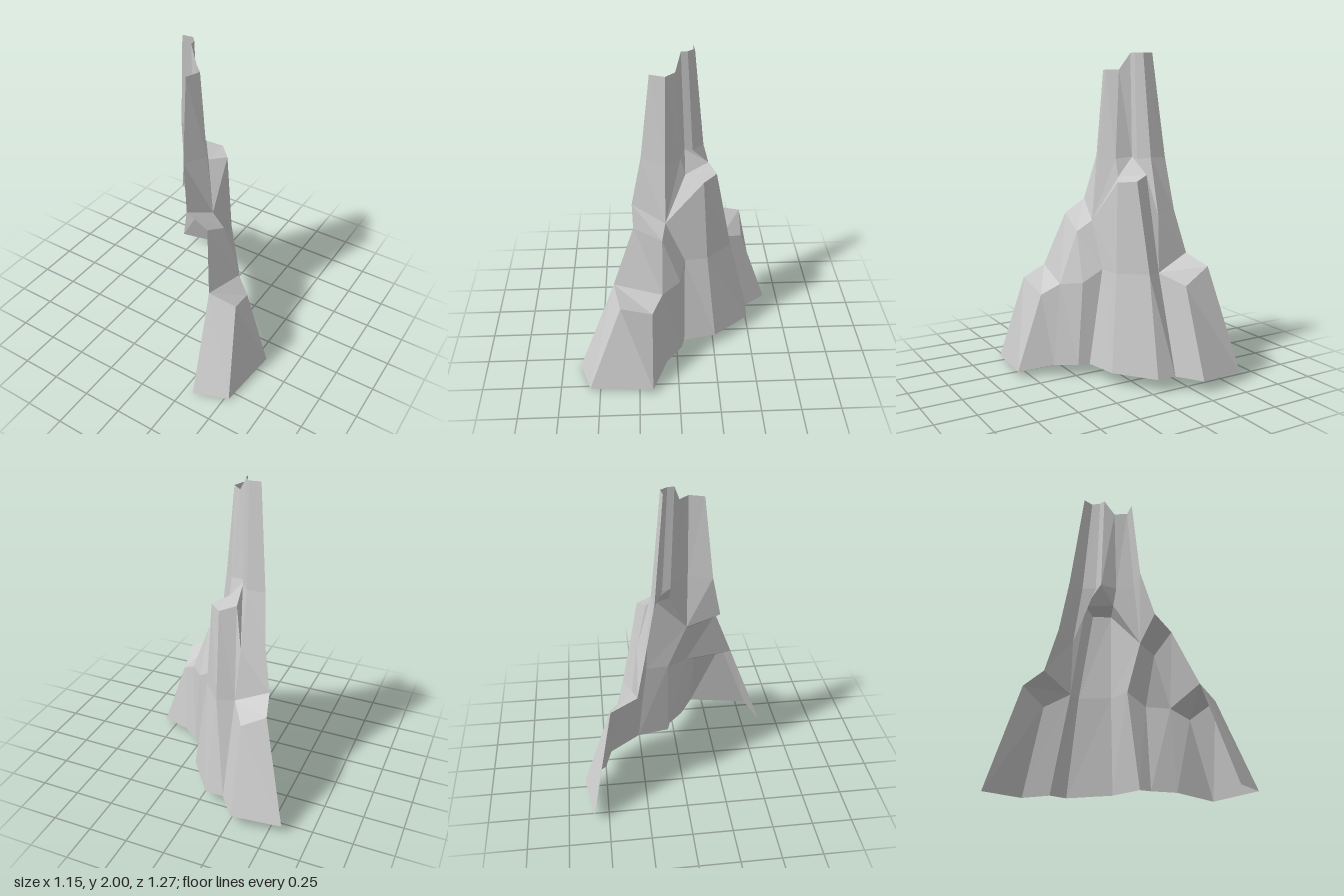
import * as THREE from 'three';

const P = (x, y, z) => [x, y, z];

// Skin a strip between two rows of points; repeated points collapse to triangles.
function strip(upper, lower, out) {
  for (let i = 0; i < upper.length - 1; i++) {
    const a = upper[i], b = lower[i], c = lower[i + 1], d = upper[i + 1];
    if (b !== c) out.push(...a, ...b, ...c);
    if (a !== d) out.push(...a, ...c, ...d);
  }
}

function rockPart(name, ...strips) {
  const out = [];
  for (const [upper, lower] of strips) strip(upper, lower, out);
  const geometry = new THREE.BufferGeometry();
  geometry.setAttribute('position', new THREE.Float32BufferAttribute(out, 3));
  geometry.computeVertexNormals();
  const material = new THREE.MeshStandardMaterial({
    color: 0xcccccc, flatShading: true, side: THREE.DoubleSide,
  });
  const mesh = new THREE.Mesh(geometry, material);
  mesh.name = name;
  return mesh;
}

export function createModel() {
  // Ground line, running from the low foot to the far end
  const base = [
    P(0.31, 0, 0.635), P(0.53, 0.01, 0.565), P(0.575, 0.03, 0.165),
    P(0.37, 0.07, 0.07), P(0.25, 0.08, -0.03), P(0.18, 0.08, -0.05),
    P(0.14, 0.08, -0.26), P(-0.04, 0.08, -0.495), P(-0.16, 0.08, -0.5),
    P(-0.27, 0.075, -0.64), P(-0.58, 0.06, -0.59),
  ];
  // Crest and waist of the spire
  const crest = [
    P(-0.035, 1.9, 0.15), P(0, 1.9, 0.06), P(-0.06, 1.9, 0),
    P(-0.12, 2, -0.035), P(-0.125, 2, -0.075), P(-0.16, 2, -0.118), P(-0.23, 2, -0.11),
  ];
  const waist = [
    P(-0.02, 1.37, 0.21), P(0.05, 1.36, 0.065), P(-0.02, 1.36, -0.03),
    P(-0.12, 1.37, -0.06), P(-0.125, 1.36, -0.11), P(-0.18, 1.37, -0.18), P(-0.29, 1.37, -0.17),
  ];
  // Ledges: back corner, then around the outside
  const foot = [P(0.275, 0.645, 0.395), P(0.44, 0.585, 0.355), P(0.41, 0.51, 0.16), P(0.31, 0.58, 0.095)];
  const left = [P(0.04, 1.08, 0.272), P(0.18, 1.0, 0.265), P(0.19, 0.905, 0.09), P(0.095, 0.97, 0.067)];
  const mid = [P(-0.02, 1.25, -0.06), P(0.05, 1.23, -0.17), P(-0.035, 1.24, -0.255), P(-0.13, 1.27, -0.21)];
  const right = [P(-0.16, 0.68, -0.31), P(-0.26, 0.615, -0.455), P(-0.42, 0.72, -0.455), P(-0.375, 0.78, -0.29)];
  // Bends halfway up the walls
  const gully = P(0.09, 0.68, -0.055), bend = P(0.21, 0.6, -0.02);
  const bulgeA = P(0.075, 0.68, -0.2), bulgeB = P(-0.06, 0.69, -0.36);
  const notch = P(-0.18, 1.02, -0.27), rim = P(-0.32, 1.05, -0.23);

  const ledge = ([a, b, c, d]) => [[a, d], [b, c]];
  const w = waist;

  const group = new THREE.Group();
  group.name = 'cliffSpire';
  group.add(
    rockPart('spire', [crest, waist]),
    rockPart('spireShoulder', [
      [w[0], w[1], w[2], w[3], w[3], w[4], w[5], w[6]],
      [left[0], left[3], left[3], mid[0], mid[3], mid[3], notch, rim],
    ]),
    rockPart('lowFoot', ledge(foot), [foot, base.slice(0, 4)]),
    rockPart('leftButtress',
      ledge(left),
      [[left[1], left[2], left[2], left[3]], [foot[0], foot[3], bend, gully]],
      [[foot[3], bend, gully], base.slice(3, 6)]),
    rockPart('middleButtress',
      ledge(mid),
      [[mid[0], mid[0]], [left[3], mid[1]]],
      [[left[3], mid[1], mid[2], mid[3], notch], [gully, bulgeA, bulgeB, right[0], right[0]]],
      [[gully, bulgeA, bulgeB, right[0]], base.slice(5, 9)]),
    rockPart('rightButtress',
      ledge(right),
      [[notch, rim], [right[0], right[3]]],
      [right.slice(0, 3), base.slice(8, 11)]),
  );
  return group;
}
